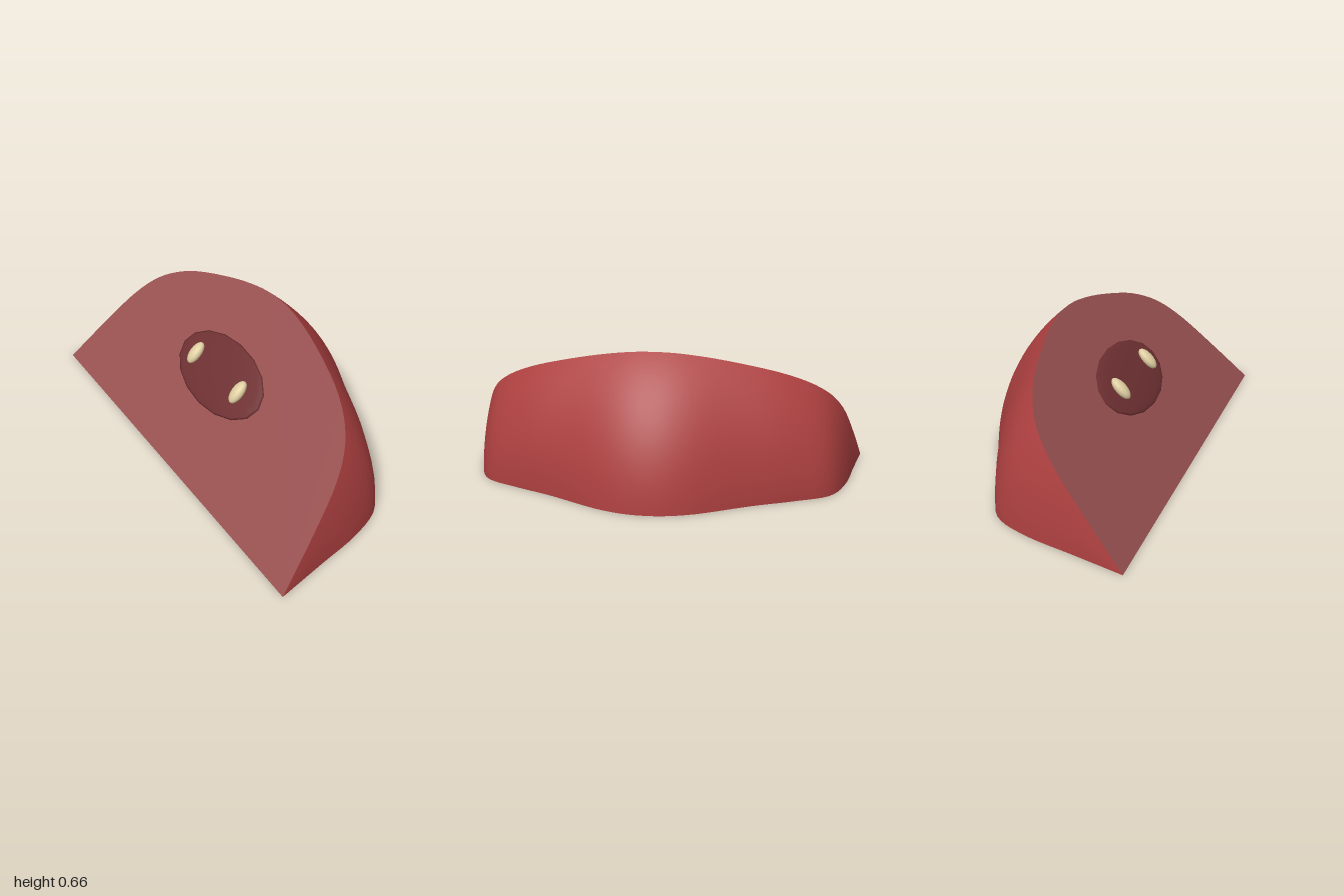
import * as THREE from 'three';

const HINGE_X = -0.495, SWEEP = Math.PI / 4, N = 64, M = 24;

// Full mirrored outline (z, radius) from half a profile
function outline(half) {
  const pts = half.map(([z, r]) => new THREE.Vector2(z, r));
  const mirrored = half.slice(0, -1).reverse().map(([z, r]) => new THREE.Vector2(-z, r));
  return new THREE.SplineCurve([...pts, ...mirrored]).getPoints(N);
}

export function createModel() {
  const mat = (name, color, side = THREE.FrontSide) => {
    const m = new THREE.MeshStandardMaterial({ color, side });
    m.name = name;
    return m;
  };
  const skinMat = mat('red skin', 0xae4040, THREE.DoubleSide);
  const fleshMat = mat('cut flesh', 0x985050, THREE.DoubleSide);
  const coreMat = mat('dark core', 0x6e3032);
  const seedMat = mat('pale seed', 0xdccb9e);

  const group = new THREE.Group();
  group.name = 'fruitWedge';
  const add = (name, geometry, material, parent = group) => {
    const mesh = new THREE.Mesh(geometry, material);
    mesh.name = name;
    parent.add(mesh);
    return mesh;
  };

  // Outlines of the lower and upper cuts
  const lower = outline([[1, 0], [0.95, 0.23], [0.9, 0.46], [0.82, 0.63], [0.66, 0.72], [0.46, 0.81], [0.2, 0.945], [0, 0.985]]);
  const upper = outline([[1, 0], [0.94, 0.26], [0.87, 0.5], [0.77, 0.66], [0.6, 0.78], [0.35, 0.875], [0.15, 0.925], [0, 0.938]]);

  // Skin: swept about the hinge edge, blending one outline into the other
  const pos = [], index = [];
  for (let j = 0; j <= M; j++) {
    const t = j / M, a = t * SWEEP;
    for (let i = 0; i <= N; i++) {
      const p = lower[i].clone().lerp(upper[i], t);
      pos.push(HINGE_X + p.y * Math.cos(a), p.y * Math.sin(a), p.x);
      if (i < N && j < M) {
        const k = j * (N + 1) + i, up = k + N + 1;
        index.push(k, k + 1, up, k + 1, up + 1, up);
      }
    }
  }
  const skin = new THREE.BufferGeometry();
  skin.setAttribute('position', new THREE.Float32BufferAttribute(pos, 3));
  skin.setIndex(index);
  skin.computeVertexNormals();
  add('skin', skin, skinMat);

  // Two flat cut faces
  const flat = (pts) => new THREE.ShapeGeometry(new THREE.Shape(pts.map((p) => new THREE.Vector2(p.y, p.x))));
  add('lowerCut', flat(lower).rotateX(Math.PI / 2).translate(HINGE_X, 0, 0), fleshMat);
  add('upperCut', flat(upper).rotateX(-Math.PI / 2).rotateZ(SWEEP).translate(HINGE_X, 0, 0), fleshMat);

  // Core and seeds on the sloping cut
  const coreGroup = new THREE.Group();
  coreGroup.name = 'coreAndSeeds';
  coreGroup.position.set(-0.16, 0.36, 0);
  coreGroup.rotation.z = SWEEP;
  group.add(coreGroup);
  add('core', new THREE.SphereGeometry(1, 16, 12), coreMat, coreGroup).scale.set(0.17, 0.017, 0.325);
  for (const s of [-1, 1]) {
    const seed = add(s > 0 ? 'frontSeed' : 'backSeed', new THREE.SphereGeometry(1, 16, 12), seedMat, coreGroup);
    seed.scale.set(0.06, 0.026, 0.032);
    seed.position.set(0, 0.028, 0.185 * s);
  }
  return group;
}
